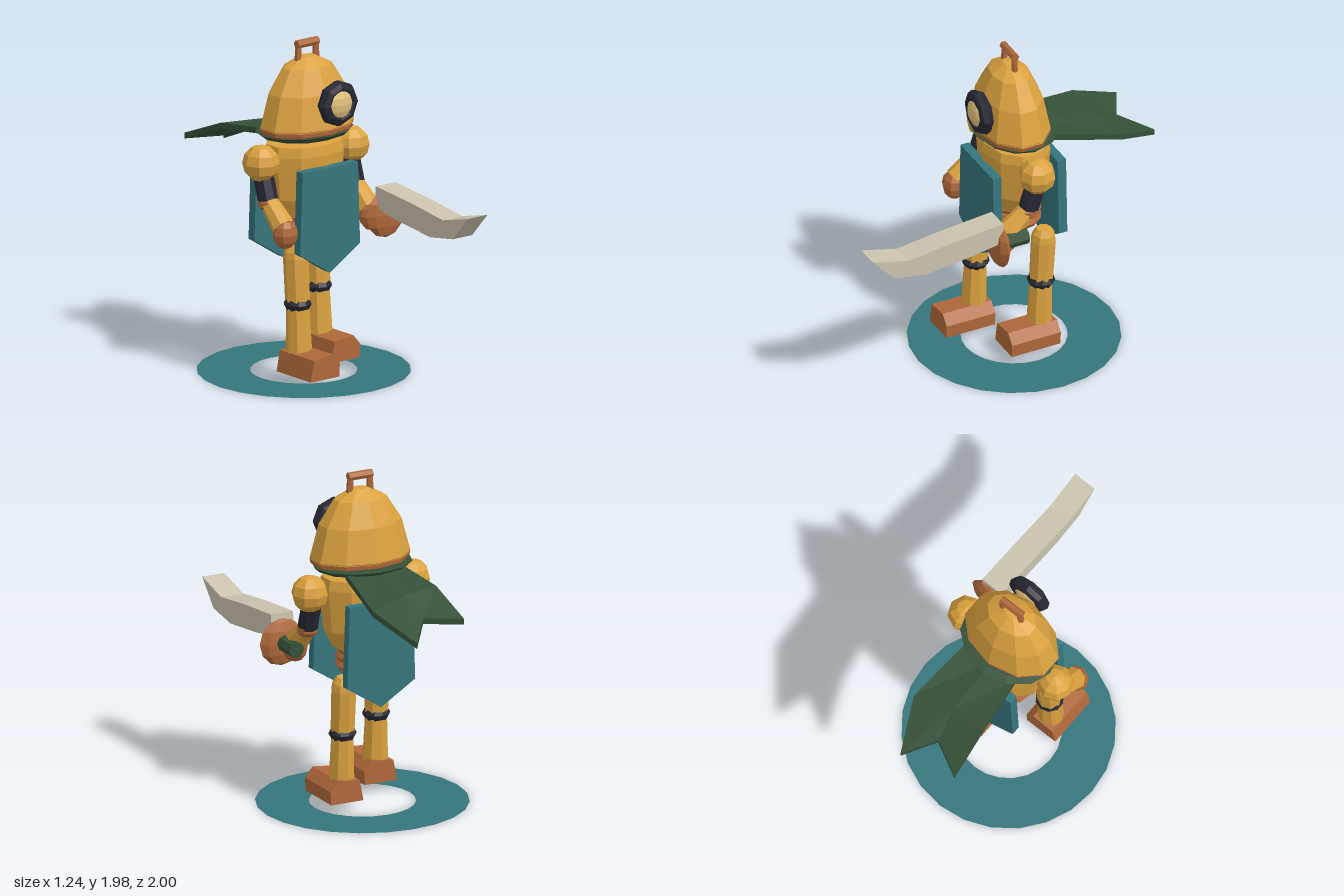
import * as THREE from 'three';

const mat = (name, color) => new THREE.MeshStandardMaterial({ name, color });

export function createModel() {
  const gold = mat('gold', 0xdba23f), copper = mat('copper', 0xb0683a), teal = mat('teal', 0x35757c);
  const dark = mat('dark rubber', 0x262632), green = mat('green cloth', 0x355038);
  const steel = mat('pale steel', 0xcbc3af), glass = mat('lens', 0xe2c07c);
  const model = new THREE.Group();
  model.name = 'robotWarrior';

  // faceted mesh placed at a point
  function add(name, geometry, material, x = 0, y = 0, z = 0, sx = 1, sy = 1, sz = 1) {
    const g = geometry.index ? geometry.toNonIndexed() : geometry;
    g.scale(sx, sy, sz);
    g.computeVertexNormals();
    const mesh = new THREE.Mesh(g, material);
    mesh.name = name;
    mesh.position.set(x, y, z);
    model.add(mesh);
    return mesh;
  }
  const lathe = (pts, sides) => new THREE.LatheGeometry(pts.map(p => new THREE.Vector2(...p)), sides);
  const shape = pts => new THREE.Shape(pts.map(p => new THREE.Vector2(...p)));
  const extrude = (pts, depth) => new THREE.ExtrudeGeometry(shape(pts), { depth, bevelEnabled: false });

  // rod between two points
  function rod(name, material, from, to, r0, r1, sides = 8) {
    const a = new THREE.Vector3(...from), b = new THREE.Vector3(...to);
    const d = b.clone().sub(a), mid = a.clone().add(b).multiplyScalar(0.5);
    const mesh = add(name, new THREE.CylinderGeometry(r1, r0, d.length(), sides), material, mid.x, mid.y, mid.z);
    mesh.quaternion.setFromUnitVectors(new THREE.Vector3(0, 1, 0), d.normalize());
    return mesh;
  }

  // base ring
  const ring = new THREE.RingGeometry(0.31, 0.62, 24).rotateX(-Math.PI / 2);
  const ringTeal = teal.clone();
  ringTeal.side = THREE.DoubleSide;
  add('baseRing', ring, ringTeal, 0, 0, -0.14);

  // legs in stride: the right one forward, the left one back
  for (const [side, x, z] of [['right', -0.175, 0.02], ['left', 0.175, -0.225]]) {
    const foot = [[-0.1, 0.055], [0.11, 0.055], [0.115, 0.135], [0.065, 0.195], [-0.075, 0.18]];
    add(side + 'Foot', extrude(foot, 0.315), copper, x, 0, z - 0.07);
    rod(side + 'Shin', gold, [x, 0.16, z + 0.012], [x, 0.46, z], 0.078, 0.066);
    add(side + 'Knee', lathe([[0, -0.05], [0.055, -0.05], [0.083, 0], [0.055, 0.05], [0, 0.05]], 10), dark, x, 0.46, z);
    const thigh = lathe([[0, 0], [0.072, 0], [0.075, 0.27], [0.068, 0.31], [0.045, 0.345], [0, 0.345]], 8);
    add(side + 'Thigh', thigh, gold, x, 0.46, z).rotation.x = -0.06;
  }

  // pelvis and waist coils
  add('pelvis', new THREE.CylinderGeometry(0.12, 0.1, 0.22, 10), dark, 0, 0.91, -0.14);
  for (let i = 0; i < 3; i++) {
    const coil = new THREE.TorusGeometry(0.13, 0.03, 6, 14).rotateX(Math.PI / 2);
    add('waistCoil', coil, copper, 0, 0.835 + i * 0.052, -0.14).rotation.x = i % 2 ? 0.06 : -0.06;
  }

  // torso
  const torso = [[0, 0.95], [0.14, 0.95], [0.18, 1.06], [0.192, 1.2], [0.2, 1.32], [0.19, 1.38], [0, 1.4]];
  add('torso', lathe(torso, 10), gold, 0, 0, -0.135, 1.31, 1, 1);

  // front and back tabards
  const tabard = [[-0.205, 1.26], [-0.222, 0.77], [0, 0.63], [0.222, 0.77], [0.205, 1.26]];
  add('frontTabard', extrude(tabard, 0.055), teal, 0, 0, 0.047);
  add('backTabard', extrude(tabard, 0.055), teal, 0, 0, -0.372);

  // arms
  for (const s of [-1, 1]) {
    const side = s > 0 ? 'left' : 'right', x = s * 0.32;
    add(side + 'Shoulder', new THREE.SphereGeometry(0.11, 8, 6), gold, s * 0.333, 1.297, -0.12);
    rod(side + 'UpperArm', dark, [x, 1.27, -0.13], [x, 1.08, -0.07], 0.06, 0.06);
    add(side + 'Elbow', new THREE.SphereGeometry(0.066, 8, 5), copper, x, 1.065, -0.065, 1, 0.75, 1);
    rod(side + 'Forearm', gold, [x, 1.07, -0.06], [x, 0.95, 0.07], 0.055, 0.07);
    add(side + 'Hand', new THREE.SphereGeometry(0.078, 8, 6), copper, x, 0.915, 0.085, 1, 1.15, 0.9);
  }

  // sword: grip, round guard and broad curved blade
  rod('swordGrip', green, [0.37, 0.935, -0.03], [0.37, 0.935, 0.14], 0.05, 0.05);
  add('swordGuard', new THREE.SphereGeometry(0.143, 8, 6), copper, 0.37, 0.933, 0.155, 1, 1, 0.32);
  const blade = [[0.15, 0.98], [0.35, 0.945], [0.655, 0.91], [0.86, 0.943], [1.0, 1.095], [0.77, 1.037], [0.49, 1.075], [0.155, 1.107]];
  add('swordBlade', extrude(blade, 0.145).rotateY(-Math.PI / 2), steel, 0.44);

  // scarf collar under the helmet
  const collar = [[0, 1.38], [0.1, 1.38], [0.22, 1.42], [0.245, 1.447], [0.2, 1.455], [0, 1.455]];
  add('scarfCollar', lathe(collar, 12), green, 0, 0, -0.135, 1.25, 1, 1);

  // forked scarf tail: a thin box bent over a 3 x 3 grid, tips first
  const grid = [
    [[-0.245, 1.27, -0.93], [-0.035, 1.275, -0.82], [0.1, 1.195, -1.0]],
    [[-0.22, 1.39, -0.63], [0, 1.365, -0.65], [0.235, 1.325, -0.715]],
    [[-0.18, 1.425, -0.28], [0, 1.425, -0.28], [0.185, 1.425, -0.28]],
  ];
  const tail = new THREE.BoxGeometry(1, 0.035, 1, 2, 1, 2), tp = tail.attributes.position;
  for (let i = 0; i < tp.count; i++) {
    const [x, y, z] = grid[Math.round((tp.getZ(i) + 0.5) * 2)][Math.round((tp.getX(i) + 0.5) * 2)];
    tp.setXYZ(i, x, y + tp.getY(i), z);
  }
  add('scarfTail', tail, green);

  // helmet with rim
  const rim = [[0, 1.425], [0.19, 1.43], [0.213, 1.455], [0.217, 1.487], [0, 1.487]];
  add('helmetRim', lathe(rim, 10), copper, 0, 0, -0.11, 1.425, 1, 1);
  const dome = [[0, 1.48], [0.217, 1.48], [0.178, 1.685], [0.113, 1.83], [0.036, 1.887], [0, 1.89]];
  add('helmet', lathe(dome, 10), gold, 0, 0, -0.11, 1.43, 1, 1);

  // carrying handle
  for (const s of [-1, 1]) rod('handlePost', copper, [s * 0.068, 1.84, -0.11], [s * 0.062, 1.965, -0.11], 0.022, 0.018, 6);
  rod('handleBar', copper, [-0.078, 1.963, -0.11], [0.078, 1.963, -0.11], 0.025, 0.025, 6);

  // single round eye
  add('eyeRing', new THREE.TorusGeometry(0.095, 0.043, 8, 8), dark, 0.05, 1.638, 0.11);
  add('eyeLens', new THREE.SphereGeometry(0.103, 12, 8), glass, 0.05, 1.638, 0.11, 1, 1, 0.58);

  return model;
}
